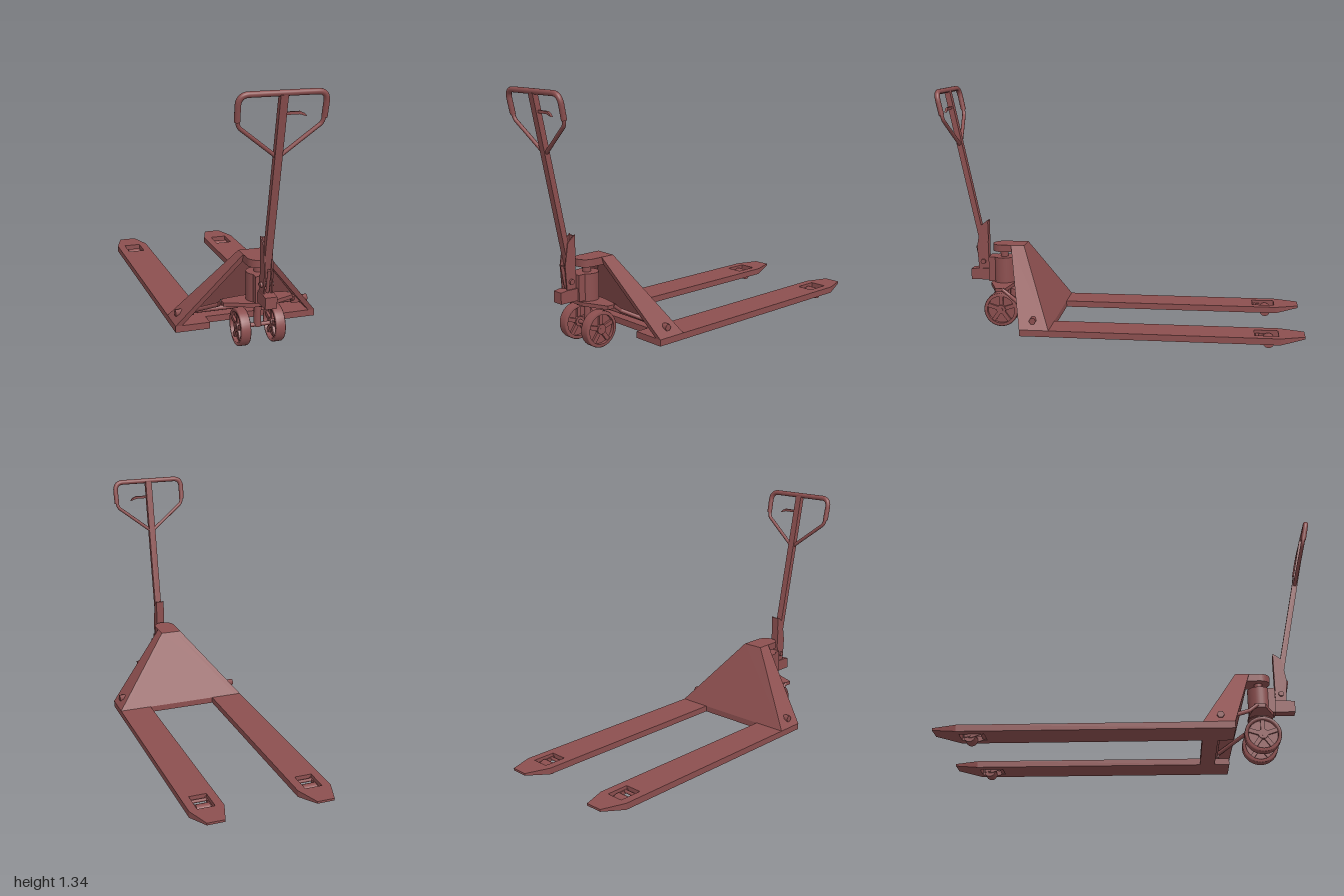
import * as THREE from 'three';
import { ConvexGeometry } from 'three/addons/geometries/ConvexGeometry.js';

const V = (x, y, z) => new THREE.Vector3(x, y, z);

export function createModel() {
  const root = new THREE.Group();
  root.name = 'palletTruck';
  const mat = new THREE.MeshStandardMaterial({ color: 0x8c4f4f });

  const add = (name, geo, parent = root) => {
    const m = new THREE.Mesh(geo, mat);
    m.name = name;
    parent.add(m);
    return m;
  };
  const box = (name, w, h, d, x, y, z, parent) =>
    add(name, new THREE.BoxGeometry(w, h, d).translate(x, y, z), parent);
  const rod = (name, a, b, r, seg = 16, parent = root) => {
    const dir = b.clone().sub(a);
    const m = add(name, new THREE.CylinderGeometry(r, r, dir.length(), seg), parent);
    m.position.copy(a).add(b).multiplyScalar(0.5);
    m.quaternion.setFromUnitVectors(V(0, 1, 0), dir.normalize());
    return m;
  };
  const shapeOf = (pts) => new THREE.Shape(pts.map(([x, y]) => new THREE.Vector2(x, y)));
  // horizontal plate from an outline in (x, z)
  const plate = (name, shape, top, thick) =>
    add(name, new THREE.ExtrudeGeometry(shape, { depth: thick, bevelEnabled: false, curveSegments: 12 })
      .rotateX(Math.PI / 2).translate(0, top, 0));
  // upright plate from an outline in (z, y), centred on x
  const profile = (name, pts, width, x = 0) =>
    add(name, new THREE.ExtrudeGeometry(shapeOf(pts), { depth: width, bevelEnabled: false })
      .rotateY(-Math.PI / 2).translate(x + width / 2, 0, 0));
  const convex = (name, pts) => add(name, new ConvexGeometry(pts));

  // Forks, tapered tips and load rollers
  for (const s of [-1, 1]) {
    const fork = shapeOf([[s * 0.2, -0.87], [s * 0.385, -0.87], [s * 0.385, 0.52], [s * 0.2, 0.52]]);
    fork.holes.push(new THREE.Path([[0.245, -0.862], [0.245, -0.735], [0.34, -0.735], [0.34, -0.862]]
      .map(([x, z]) => new THREE.Vector2(s * x, z))));
    plate('fork', fork, 0.07, 0.035);
    const tip = [];
    for (const [x, z, low] of [[0.2, -0.87, 0.035], [0.385, -0.87, 0.035], [0.34, -1, 0.058], [0.245, -1, 0.058]])
      tip.push(V(s * x, 0.07, z), V(s * x, low, z));
    convex('forkTip', tip);

    const cx = s * 0.2925;
    rod('loadRoller', V(cx - 0.037, 0.03, -0.81), V(cx + 0.037, 0.03, -0.81), 0.03, 24);
    rod('rollerPin', V(cx - 0.05, 0.03, -0.81), V(cx + 0.05, 0.03, -0.81), 0.008, 12);
    for (const t of [-1, 1])
      profile('rollerBracket', [[-0.835, 0.022], [-0.8, 0.018], [-0.735, 0.04], [-0.735, 0.055], [-0.835, 0.05]], 0.006, cx + t * 0.042);
    rod('bracketPin', V(cx - 0.046, 0.046, -0.75), V(cx + 0.046, 0.046, -0.75), 0.009, 12);

    // Sloping side wall of the frame
    const wall = [];
    for (const [x, y, z] of [[0.385, 0.07, 0.36], [0.385, 0.07, 0.52], [0.06, 0.46, 0.63], [0.06, 0.46, 0.555]])
      wall.push(V(s * x, y, z), V(s * (x - 0.035), y, z));
    convex('frameSideWall', wall);

    // Lift linkage and the pivot shaft's hexagonal end
    rod('liftLink', V(s * 0.18, 0.235, 0.655), V(s * 0.185, 0.2, 0.61), 0.01);
    rod('liftLink', V(s * 0.185, 0.2, 0.61), V(s * 0.285, 0.12, 0.46), 0.011);
    box('linkLug', 0.045, 0.035, 0.04, s * 0.295, 0.117, 0.45);
    rod('shaftEnd', V(s * 0.32, 0.115, 0.45), V(s * 0.368, 0.115, 0.45), 0.019, 6);
  }

  // Frame: base, leaning back plate and rounded top
  box('basePlate', 0.42, 0.035, 0.08, 0, 0.0525, 0.4);
  const back = [];
  for (const [x, y, z] of [[0.385, 0.07, 0.36], [0.06, 0.46, 0.555]])
    for (const s of [-1, 1]) back.push(V(s * x, y, z), V(s * x, y, z + 0.018));
  convex('frameBackPlate', back);
  const cover = new THREE.Shape();
  cover.moveTo(-0.06, 0.555);
  cover.lineTo(0.06, 0.555);
  cover.lineTo(0.06, 0.685);
  cover.absarc(0, 0.685, 0.06, 0, Math.PI, false);
  plate('frameTop', cover, 0.46, 0.04);
  rod('pivotShaft', V(-0.34, 0.115, 0.45), V(0.34, 0.115, 0.45), 0.013);

  // Hydraulic pump
  rod('pumpBody', V(0, 0.245, 0.682), V(0, 0.385, 0.682), 0.062, 32);
  box('pumpBlock', 0.085, 0.14, 0.085, 0, 0.315, 0.7225);
  rod('pumpFlange', V(0, 0.215, 0.682), V(0, 0.247, 0.682), 0.062, 32);
  rod('liftPiston', V(0, 0.38, 0.682), V(0, 0.43, 0.682), 0.022, 20);
  plate('linkPlate', shapeOf([[-0.185, 0.64], [-0.06, 0.62], [0.06, 0.62], [0.185, 0.64], [0.185, 0.695],
    [0.12, 0.72], [0.05, 0.75], [-0.05, 0.75], [-0.12, 0.72], [-0.185, 0.695]]), 0.24, 0.02);

  // Steering wheels: tyre, thin web, hub and spokes
  rod('steerPost', V(0, 0.09, 0.682), V(0, 0.22, 0.682), 0.019);
  rod('steerAxle', V(-0.12, 0.098, 0.682), V(0.12, 0.098, 0.682), 0.011);
  for (const s of [-1, 1]) {
    const wheel = new THREE.Group();
    wheel.name = 'steerWheel';
    wheel.position.set(s * 0.092, 0.098, 0.682);
    root.add(wheel);
    const tyre = [[0.078, -0.026], [0.093, -0.026], [0.097, -0.021], [0.097, 0.021], [0.093, 0.026], [0.078, 0.026], [0.078, -0.026]];
    add('tyre', new THREE.LatheGeometry(tyre.map(([r, y]) => new THREE.Vector2(r, y)), 40).rotateZ(Math.PI / 2), wheel);
    rod('wheelWeb', V(-0.007, 0, 0), V(0.007, 0, 0), 0.08, 32, wheel);
    rod('wheelHub', V(-0.026, 0, 0), V(0.026, 0, 0), 0.026, 20, wheel);
    for (let i = 0; i < 5; i++)
      box('spoke', 0.04, 0.062, 0.022, 0, 0.05, 0, wheel).rotation.x = (i * Math.PI * 2) / 5;
  }

  // Tiller mount in front of the pump
  profile('tillerMount', [[0.765, 0.25], [0.87, 0.25], [0.87, 0.31], [0.835, 0.315], [0.765, 0.315]], 0.062);
  for (const s of [-1, 1])
    profile('tillerCheek', [[0.77, 0.3], [0.825, 0.3], [0.835, 0.44], [0.815, 0.56], [0.77, 0.595]], 0.007, s * 0.02);
  box('tillerBackPlate', 0.045, 0.29, 0.008, 0, 0.445, 0.773);
  rod('tillerPivot', V(-0.035, 0.355, 0.8), V(0.035, 0.355, 0.8), 0.014);
  rod('releaseRod', V(0, 0.32, 0.815), V(0, 0.44, 0.838), 0.009, 12);

  // Tiller: everything lies on one leaning plane
  const onTiller = (x, y) => V(x, y, 0.985 - 0.21 * (1.325 - y));
  const tilt = Math.atan(0.21);
  const shaft = box('tillerShaft', 0.038, 1.0, 0.03, 0, 0, 0);
  shaft.position.copy(onTiller(0, 0.83));
  shaft.rotation.x = tilt;

  // Handle loop with rounded corners and slanted braces
  const loop = new THREE.CurvePath();
  const line = (a, b) => loop.add(new THREE.LineCurve3(onTiller(...a), onTiller(...b)));
  const bend = (a, b, c) => loop.add(new THREE.QuadraticBezierCurve3(onTiller(...a), onTiller(...b), onTiller(...c)));
  line([-0.212, 1.2], [-0.214, 1.275]);
  bend([-0.214, 1.275], [-0.214, 1.325], [-0.165, 1.325]);
  line([-0.165, 1.325], [0.165, 1.325]);
  bend([0.165, 1.325], [0.214, 1.325], [0.214, 1.275]);
  line([0.214, 1.275], [0.212, 1.2]);
  add('handleLoop', new THREE.TubeGeometry(loop, 90, 0.0145, 14, false));
  for (const s of [-1, 1]) {
    const brace = new THREE.CurvePath();
    brace.add(new THREE.QuadraticBezierCurve3(onTiller(s * 0.21, 1.21), onTiller(s * 0.21, 1.175), onTiller(s * 0.19, 1.163)));
    brace.add(new THREE.LineCurve3(onTiller(s * 0.19, 1.163), onTiller(0, 1.015)));
    add('handleBrace', new THREE.TubeGeometry(brace, 30, 0.01, 12, false));
  }

  // Control lever
  const lever = shapeOf([[0, 1.235], [0.09, 1.235], [0.11, 1.225], [0.123, 1.21], [0.105, 1.215], [0.085, 1.221], [0, 1.221]]);
  add('controlLever', new THREE.ExtrudeGeometry(lever, { depth: 0.012, bevelEnabled: false })
    .translate(0, 0, onTiller(0, 1.225).z - 0.006));

  return root;
}
